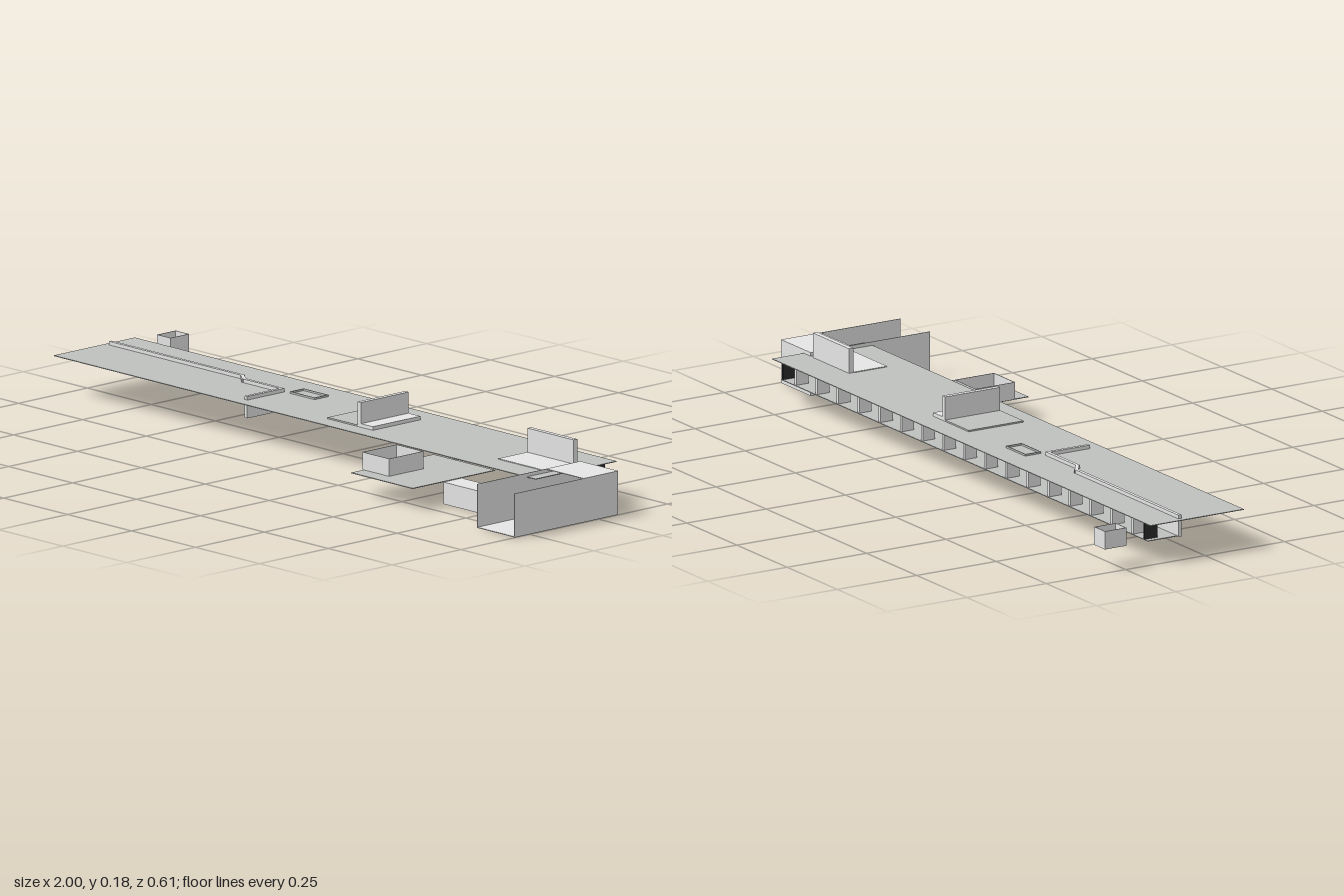
import * as THREE from 'three';

const mat = (name, color) => {
  const m = new THREE.MeshStandardMaterial({ color });
  m.name = name;
  return m;
};

export function createModel() {
  const model = new THREE.Group();
  const wall = mat('pale wall', 0xe5e5e5);
  const deck = mat('grey deck', 0xbec1bf);
  const dark = mat('dark panel', 0x2a2a2a);
  const T = 0.002;

  // Box given by its extents on each axis
  const block = (name, m, x0, x1, y0, y1, z0, z1, parent = model) => {
    const g = new THREE.BoxGeometry(x1 - x0, y1 - y0, z1 - z0);
    g.translate((x0 + x1) / 2, (y0 + y1) / 2, (z0 + z1) / 2);
    const mesh = new THREE.Mesh(g, m);
    mesh.name = name;
    parent.add(mesh);
    return mesh;
  };

  // Roofless room of thin walls; sides lists the walls and floor to build
  const room = (name, x0, x1, y0, y1, z0, z1, sides) => {
    const g = new THREE.Group();
    g.name = name;
    const parts = {
      left: [x1 - T, x1, y0, y1, z0, z1],
      right: [x0, x0 + T, y0, y1, z0, z1],
      front: [x0, x1, y0, y1, z1 - T, z1],
      back: [x0, x1, y0, y1, z0, z0 + T],
      floor: [x0, x1, y0, y0 + T, z0, z1],
    };
    sides.forEach((s) => block(name + ' ' + s, wall, ...parts[s], g));
    model.add(g);
  };

  // Main deck and lower landing
  block('mainDeck', deck, -1, 0.885, 0.108, 0.11, -0.172, 0.122);
  block('lowerLanding', deck, 0.355, 0.595, 0.06, 0.062, 0, 0.3);
  block('landingStep', deck, 0.325, 0.355, 0.06, 0.062, 0.1, 0.145);

  // Walkway under the back edge of the deck, with a row of fins
  block('walkwayFloor', deck, -0.98, 0.845, 0.06, 0.062, -0.168, -0.07);
  block('walkwayWall', wall, -0.288, 0.845, 0.062, 0.108, -0.074, -0.072);
  block('walkwayEnd', wall, 0.843, 0.845, 0.062, 0.108, -0.125, -0.074);
  for (let i = 0; i < 17; i++) {
    const x = -0.9 + i * 0.105;
    block('fin', wall, x - 0.005, x + 0.005, 0.062, 0.108, -0.165, -0.127);
  }
  [-0.965, 0.838].forEach((x) =>
    block('endPanel', dark, x, x + 0.005, 0.062, 0.108, -0.168, -0.127));

  // Stepped wall that hangs below the deck and rises just above it
  const steps = [[-0.98, -0.07], [-0.47, -0.07], [-0.435, -0.045], [-0.288, -0.045], [-0.288, 0.08]];
  for (let i = 1; i < steps.length; i++) {
    const [ax, az] = steps[i - 1], [bx, bz] = steps[i];
    const m = new THREE.Mesh(
      new THREE.BoxGeometry(Math.hypot(bx - ax, bz - az) + 0.01, 0.06, 0.01), wall);
    m.name = 'steppedWall';
    m.position.set((ax + bx) / 2, 0.09, (az + bz) / 2);
    m.rotation.y = -Math.atan2(bz - az, bx - ax);
    model.add(m);
  }

  // Hatch frame
  [[-0.262, -0.259, -0.1, -0.05], [-0.168, -0.165, -0.1, -0.05],
    [-0.259, -0.168, -0.1, -0.097], [-0.259, -0.168, -0.053, -0.05]]
    .forEach(([x0, x1, z0, z1]) => block('hatchFrame', deck, x0, x1, 0.11, 0.115, z0, z1));

  // Screen wall with a low pad and bench beside it
  block('screenPad', deck, 0.015, 0.132, 0.11, 0.114, -0.103, 0.07);
  block('screenWall', wall, 0.132, 0.146, 0.11, 0.178, -0.103, 0.07);
  block('screenBench', wall, 0.146, 0.192, 0.11, 0.12, -0.103, 0.07);

  // Tall panel and pale floor
  block('tallPanel', wall, 0.657, 0.837, 0.06, 0.178, -0.074, -0.06);
  block('paleFloor', wall, 0.655, 0.84, 0.11, 0.112, -0.06, 0.045);

  // Open booth on the landing
  room('landingBooth', 0.35, 0.455, 0.062, 0.11, 0.13, 0.255, ['left', 'right', 'front', 'back']);

  // Low passage between landing and end hall
  block('passage', wall, 0.595, 0.85, 0, 0.06, 0.12, 0.187);

  // End hall, open at the front, partly roofed
  room('endHall', 0.85, 0.998, 0, 0.12, -0.073, 0.303, ['left', 'right', 'back', 'floor']);
  block('endHallRoof', wall, 0.85, 0.998, 0.118, 0.12, -0.071, 0.052);
  block('hallMark', dark, 0.9, 0.922, 0.026, 0.04, -0.071, -0.068);
  block('hallMark', dark, 0.938, 0.978, 0.038, 0.044, -0.071, -0.068);
  block('hallMark', dark, 0.858, 0.885, 0.01, 0.015, -0.071, -0.068);

  // Detached small booth behind the deck
  room('detachedBooth', -0.983, -0.93, 0.06, 0.11, -0.305, -0.237,
    ['left', 'right', 'front', 'back', 'floor']);

  return model;
}
